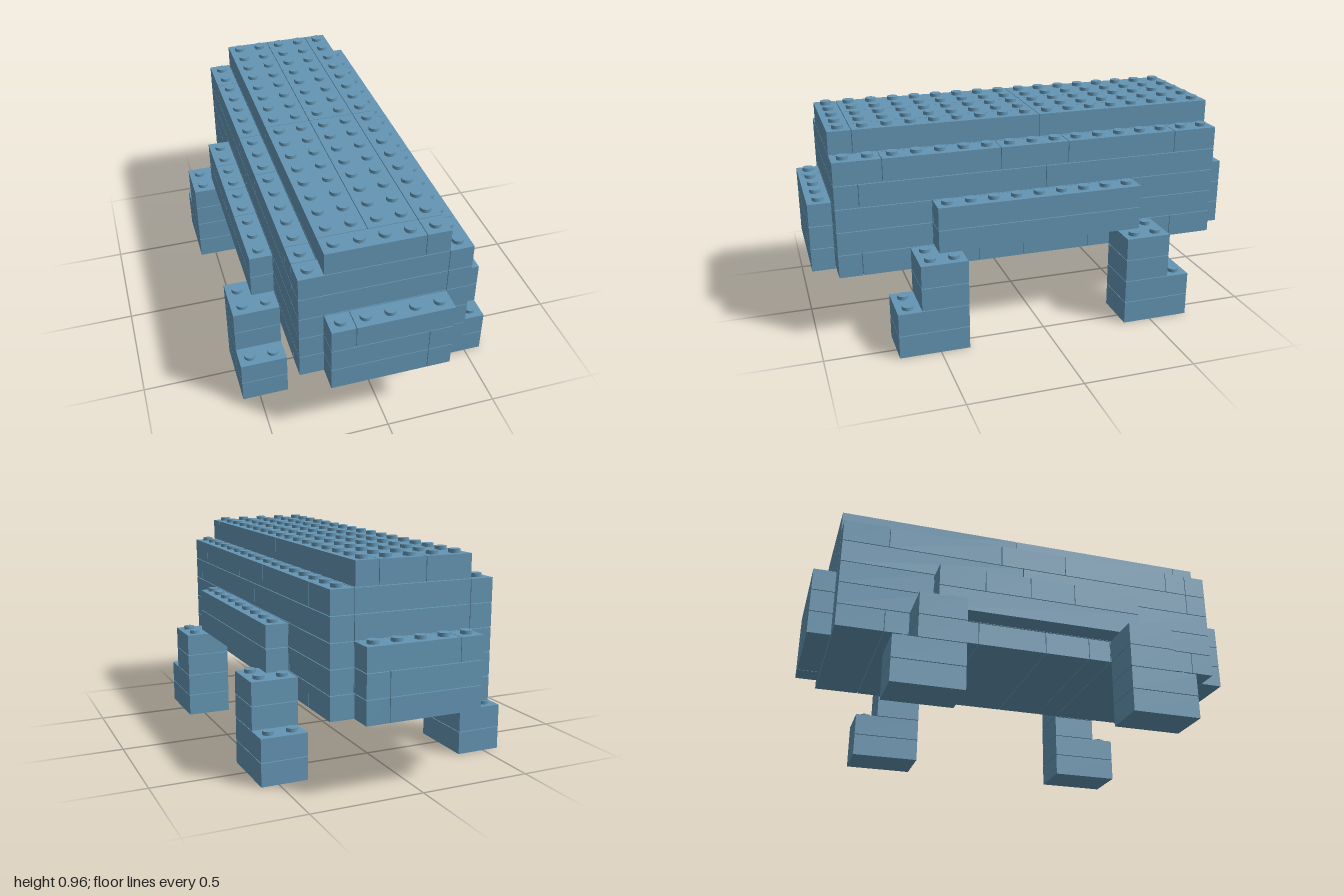
import * as THREE from 'three';

const U = 2 / 19;        // one stud pitch, also the brick height
const GAP = 0.0015;      // seam left around each brick

export function createModel() {
  const model = new THREE.Group();
  model.name = 'brickBuild';
  const blue = new THREE.MeshStandardMaterial({ color: 0x6496b4 });
  blue.name = 'dustyBlue';
  const studGeo = new THREE.CylinderGeometry(0.025, 0.025, 0.016, 20);

  const part = (name) => {
    const g = new THREE.Group();
    g.name = name;
    model.add(g);
    return g;
  };

  // Brick on a given layer, extents in stud units
  const brick = (group, layer, x0, x1, z0, z1) => {
    const geo = new THREE.BoxGeometry((x1 - x0) * U - 2 * GAP, U - 2 * GAP, (z1 - z0) * U - 2 * GAP);
    const m = new THREE.Mesh(geo, blue);
    m.name = 'brick';
    m.position.set((x0 + x1) / 2 * U, (layer + 0.5) * U, (z0 + z1) / 2 * U);
    group.add(m);
  };

  // Row of bricks along z, cut at the given stops
  const row = (group, layer, x0, x1, stops) => {
    for (let i = 0; i + 1 < stops.length; i++) brick(group, layer, x0, x1, stops[i], stops[i + 1]);
  };

  // Grid of studs standing on top of a layer
  const studs = (group, layer, x0, x1, z0, z1) => {
    for (let x = x0; x <= x1; x++) for (let z = z0; z <= z1; z++) {
      const m = new THREE.Mesh(studGeo, blue);
      m.name = 'stud';
      m.position.set(x * U, (layer + 1) * U + 0.0065, z * U);
      group.add(m);
    }
  };

  // Four stepped legs
  for (const sx of [-1, 1]) for (const sz of [-1, 1]) {
    const leg = part((sz > 0 ? 'front' : 'back') + (sx > 0 ? 'Left' : 'Right') + 'Leg');
    const [x0, x1] = sx > 0 ? [3.5, 5.5] : [-5.5, -3.5];
    const span = (a, b) => (sz > 0 ? [a, b] : [-b, -a]);
    for (const layer of [0, 1]) brick(leg, layer, x0, x1, ...span(3.5, 6.5));
    for (const layer of [2, 3]) brick(leg, layer, x0, x1, ...span(3.5, 5.5));
    studs(leg, 1, x0 + 0.5, x1 - 0.5, sz * 6, sz * 6);
    studs(leg, 3, x0 + 0.5, x1 - 0.5, sz * 5, sz * 5);
    studs(leg, 3, sx * 5, sx * 5, sz * 4, sz * 4);
  }

  // Lower body
  const body = part('lowerBody');
  row(body, 3, -3.5, 3.5, [-8.5, -6.5, -4.5, -2.5, 0.5, 2.5, 3.5, 7.5, 8.5]);
  for (const layer of [4, 5]) {
    row(body, layer, -3.5, -2.5, [-8.5, -4.5, 4.5, 8.5]);
    row(body, layer, -2.5, 2.5, [-8.5, 8.5]);
    row(body, layer, 2.5, 3.5, [-8.5, -4.5, 4.5, 8.5]);
  }

  // Side ledges
  const leftLedge = part('leftLedge'), rightLedge = part('rightLedge');
  for (const layer of [4, 5]) {
    row(leftLedge, layer, 3.5, 4.5, [-4.5, 4.5]);
    row(rightLedge, layer, -4.5, -3.5, layer === 5 ? [-4.5, -2.5, -0.5, 1.5, 4.5] : [-4.5, 4.5]);
  }
  studs(leftLedge, 5, 4, 4, -4, 4);
  studs(rightLedge, 5, -4, -4, -4, 4);

  // End panels at the front and back
  for (const sz of [-1, 1]) {
    const panel = part(sz > 0 ? 'frontPanel' : 'backPanel');
    const [z0, z1] = sz > 0 ? [8.5, 9.5] : [-9.5, -8.5];
    [1.5, 1.5, -1.5].forEach((cut, i) => {
      brick(panel, 3 + i, -2.5, cut, z0, z1);
      brick(panel, 3 + i, cut, 2.5, z0, z1);
    });
    studs(panel, 5, -2, 2, sz * 9, sz * 9);
  }

  // Upper body
  const upper = part('upperBody');
  for (const [layer, stops] of [[6, [-8.5, -0.5, 7.5]], [7, [-8.5, -6.5, -1.5, 1.5, 6.5, 7.5]]]) {
    row(upper, layer, -3.5, -2.5, stops);
    row(upper, layer, -2.5, 2.5, [-8.5, 7.5]);
    row(upper, layer, 2.5, 3.5, [...stops.slice(0, -1), layer === 7 ? 8.5 : 7.5]);
    brick(upper, layer, -3.5, 2.5, 7.5, 8.5);
  }
  brick(upper, 6, 2.5, 3.5, 7.5, 8.5);
  for (const x of [-3, 3]) studs(upper, 7, x, x, -8, 8);

  // Roof
  const roof = part('roof');
  for (const [x0, x1] of [[-2.5, -0.5], [-0.5, 1.5], [1.5, 2.5]]) row(roof, 8, x0, x1, [-8.5, -0.5, 7.5]);
  brick(roof, 8, -2.5, 1.5, 7.5, 8.5);
  brick(roof, 8, 1.5, 2.5, 7.5, 8.5);
  studs(roof, 8, -2, 2, -8, 8);

  return model;
}
